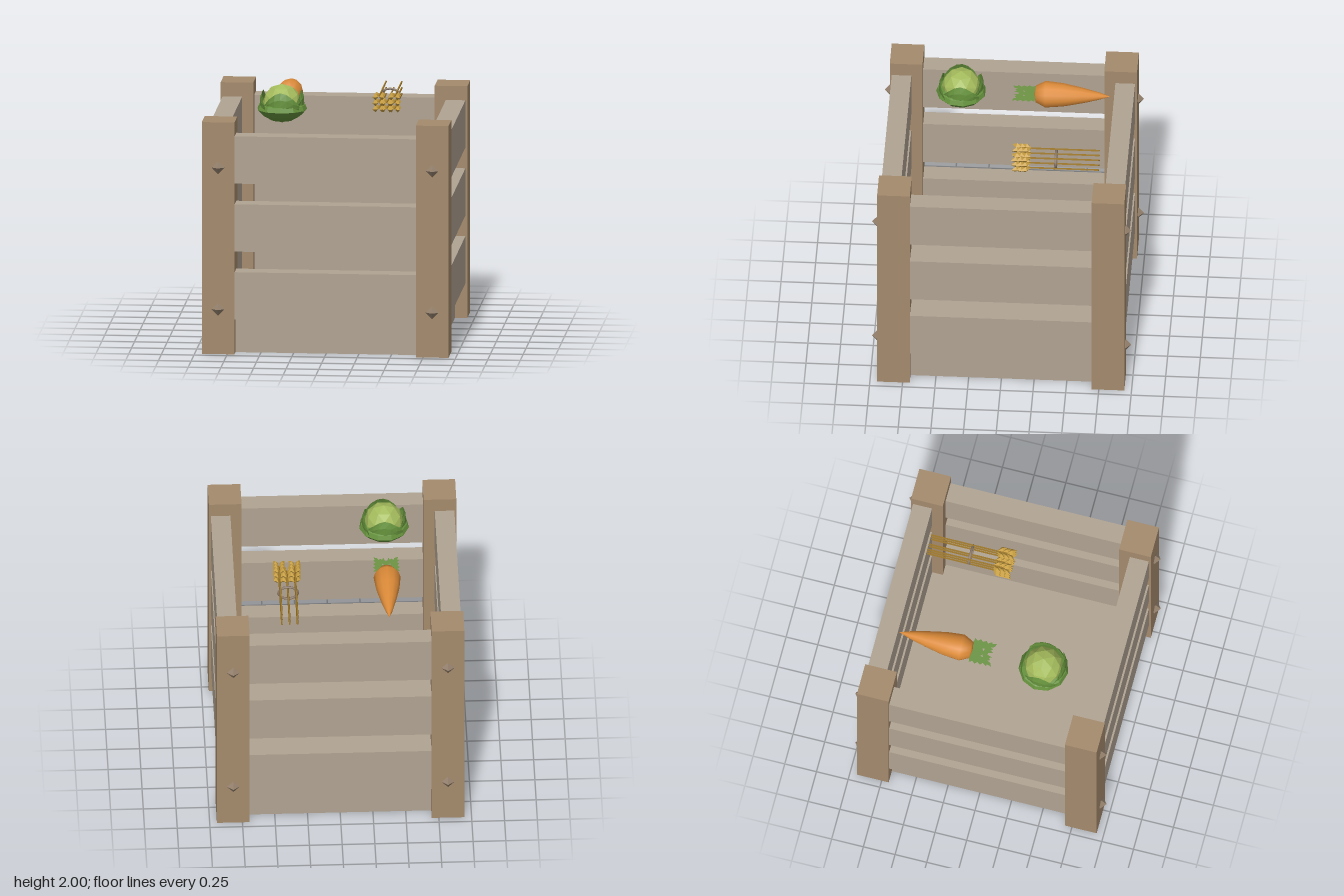
import * as THREE from 'three';

const mat = (name, color, opts = {}) => {
  const m = new THREE.MeshStandardMaterial({ color, ...opts });
  m.name = name;
  return m;
};

export function createModel() {
  const model = new THREE.Group();
  model.name = 'produceCrate';

  const flat = { flatShading: true };
  const open = { flatShading: true, side: THREE.DoubleSide };
  const postWood = mat('post wood', 0xa48a6c, flat);
  const slatWood = mat('slat wood', 0xb0a392, flat);
  const studMat = mat('stud brown', 0x94806c, flat);
  const leafGreen = mat('cabbage leaf green', 0x65913c, open);
  const heartGreen = mat('cabbage heart green', 0xa4bb5c, flat);
  const orange = mat('carrot orange', 0xdb8a38);
  const topGreen = mat('carrot top green', 0x6c9444, open);
  const grain = mat('wheat grain', 0xc89f42, flat);
  const straw = mat('wheat straw', 0x9c7628, flat);
  const twine = mat('twine', 0x8c7a6a);

  const add = (parent, name, geo, material, x = 0, y = 0, z = 0) => {
    const mesh = new THREE.Mesh(geo, material);
    mesh.name = name;
    mesh.position.set(x, y, z);
    parent.add(mesh);
    return mesh;
  };
  const group = (name, x, y, z) => {
    const g = new THREE.Group();
    g.name = name;
    g.position.set(x, y, z);
    model.add(g);
    return g;
  };

  // Crate: floor block, corner posts with studs, three slats per side
  add(model, 'floor', new THREE.BoxGeometry(1.7, 0.27, 1.7), slatWood, 0, 0.135, 0);
  const postGeo = new THREE.BoxGeometry(0.25, 1.8, 0.25);
  const studGeo = new THREE.OctahedronGeometry(0.05).scale(1, 1, 0.8);
  for (const sx of [-1, 1]) for (const sz of [-1, 1]) {
    add(model, 'cornerPost', postGeo, postWood, sx * 0.82, 0.9, sz * 0.82);
    for (const y of [0.35, 1.45]) add(model, 'stud', studGeo, studMat, sx * 0.82, y, sz * 0.951);
  }
  const slatGeo = new THREE.BoxGeometry(1.39, 0.367, 0.15);
  for (const y of [0.452, 0.979, 1.507]) for (const s of [-1, 1]) {
    add(model, 'slat', slatGeo, slatWood, 0, y, s * 0.855);
    add(model, 'sideSlat', slatGeo, slatWood, s * 0.855, y, 0).rotation.y = Math.PI / 2;
  }

  // Cabbage: faceted heart, open bowl of low leaves, four cupped leaves
  const cabbage = group('cabbage', -0.38, 1.85, 0.38);
  add(cabbage, 'heart', new THREE.IcosahedronGeometry(0.15, 1), heartGreen);
  const bowl = [[0.001, -0.14], [0.08, -0.13], [0.15, -0.09], [0.192, -0.045], [0.178, -0.01], [0.14, 0.01]]
    .map(([r, y]) => new THREE.Vector2(r, y));
  add(cabbage, 'outerLeaves', new THREE.LatheGeometry(bowl, 11), leafGreen);
  for (let i = 0; i < 4; i++) {
    const geo = new THREE.PlaneGeometry(1, 1, 6, 3);
    const p = geo.attributes.position;
    for (let k = 0; k < p.count; k++) {
      const u = p.getX(k) + 0.5, v = p.getY(k) + 0.5;
      const rise = -0.35 + v * (0.35 + 0.62 * Math.sin(Math.PI * u));
      const r = 0.155 + 0.022 * u + 0.012 * v;
      const a = (u - 0.5) * 1.75;
      p.setXYZ(k, r * Math.cos(rise) * Math.sin(a), r * Math.sin(rise), r * Math.cos(rise) * Math.cos(a));
    }
    geo.computeVertexNormals();
    add(cabbage, 'cuppedLeaf', geo, leafGreen).rotation.y = i * Math.PI / 2;
  }

  // Carrot lying with its tip towards the back
  const carrot = group('carrot', -0.38, 1.805, 0);
  const root = [[0, 0.18], [0.065, 0.19], [0.103, 0.265], [0.09, 0.4], [0.062, 0.54], [0.03, 0.67], [0, 0.76]]
    .map(([r, y]) => new THREE.Vector2(r, y));
  const rootGeo = new THREE.LatheGeometry(root, 12);
  add(carrot, 'root', rootGeo, orange).rotation.x = -Math.PI / 2;

  // Jagged flat greens, mirrored about the middle
  const half = [[0.065, -0.19], [0.1, -0.185], [0.085, -0.16], [0.102, -0.14], [0.085, -0.12], [0.1, -0.095],
    [0.082, -0.08], [0.1, -0.05], [0.085, -0.045], [0.095, -0.01], [0.065, -0.025], [0.055, -0.05],
    [0.045, -0.03], [0.03, -0.045], [0.02, -0.02], [0.008, -0.06]];
  const outline = [...half, ...half.map(([x, z]) => [-x, z]).reverse()].map(([x, z]) => new THREE.Vector2(x, -z));
  const greens = new THREE.Shape(outline);
  for (const s of [-1, 1]) {
    greens.holes.push(new THREE.Path([[0.015, 0.1], [0.035, 0.09], [0.03, 0.11]].map(([x, y]) => new THREE.Vector2(s * x, y))));
  }
  add(carrot, 'greens', new THREE.ShapeGeometry(greens), topGreen).rotation.x = -Math.PI / 2;

  // Wheat sheaf: stalks with chevron ears, tied by a band
  const sheaf = group('wheatSheaf', 0.38, 1.775, 0);
  const stemGeo = new THREE.CylinderGeometry(0.007, 0.007, 0.6, 5).rotateX(Math.PI / 2);
  const kernelGeo = new THREE.OctahedronGeometry(1).scale(0.021, 0.026, 0.042);
  const rows = [[0.047, [-0.06, 0.06]], [0, [-0.06, 0, 0.06]], [-0.047, [-0.06, 0, 0.06]]];
  for (const [y, xs] of rows) for (const x of xs) {
    const stalk = new THREE.Group();
    stalk.name = 'wheatStalk';
    stalk.position.set(x, y, 0);
    sheaf.add(stalk);
    add(stalk, 'stem', stemGeo, straw, 0, 0, -0.42);
    for (let i = 0; i < 3; i++) for (const s of [-1, 1]) {
      add(stalk, 'kernel', kernelGeo, grain, s * 0.024, 0, -0.162 + i * 0.037).rotation.y = s * 0.5;
    }
  }
  add(sheaf, 'band', new THREE.TorusGeometry(0.073, 0.011, 6, 16).scale(1, 0.75, 1), twine, 0, 0, -0.39);

  return model;
}
